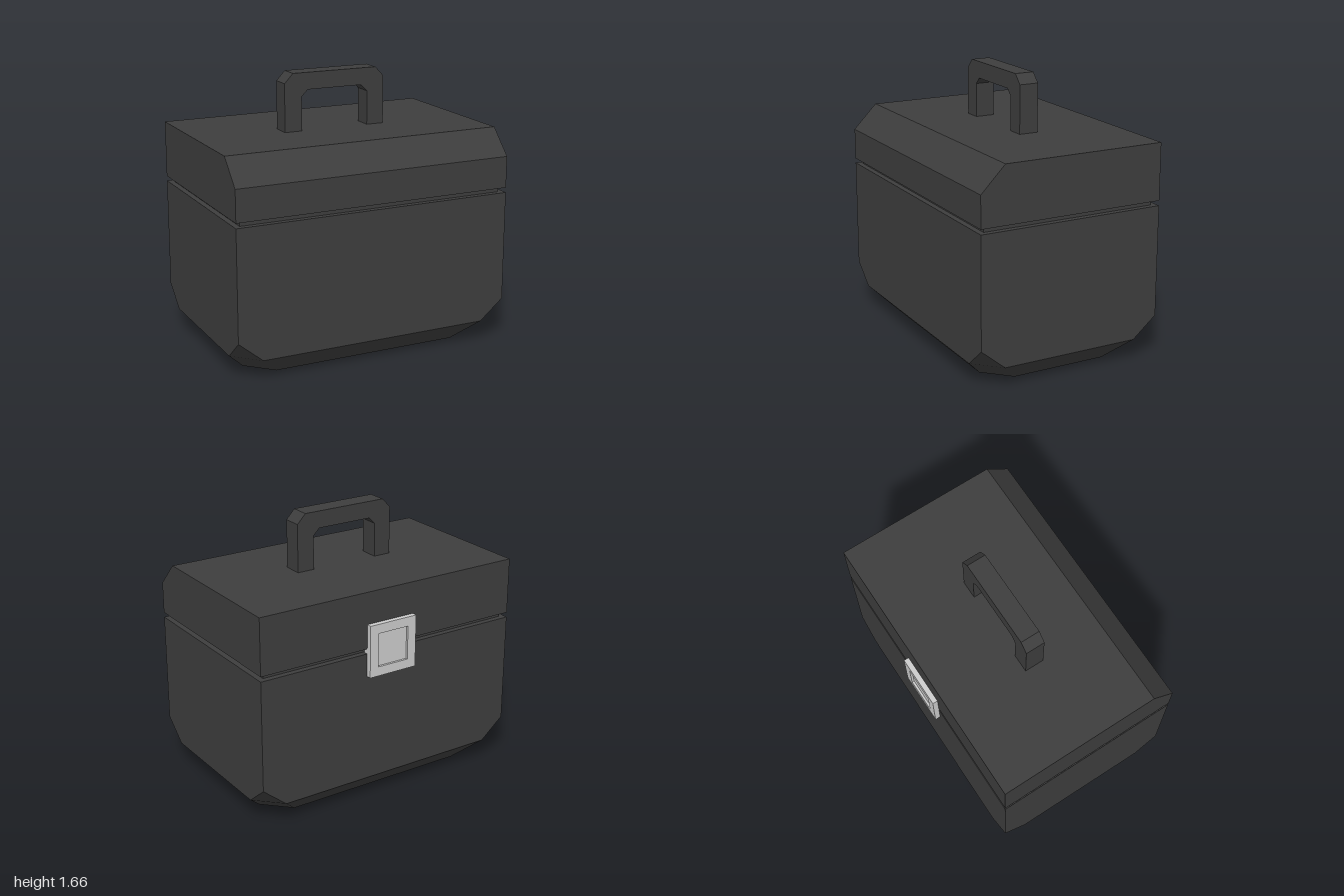
import * as THREE from 'three';
import { ConvexGeometry } from 'three/addons/geometries/ConvexGeometry.js';

const W = 0.872, D = 0.58; // half width and half depth of the box
const dark = new THREE.MeshStandardMaterial({ color: 0x3d3d3d, flatShading: true });
const metal = new THREE.MeshStandardMaterial({ color: 0xcccccc, flatShading: true });

function addMesh(parent, name, geometry, material, x = 0, y = 0, z = 0) {
  const mesh = new THREE.Mesh(geometry, material);
  mesh.name = name;
  mesh.position.set(x, y, z);
  parent.add(mesh);
  return mesh;
}

// Horizontal rectangle of points at height y, with its corners cut off by `cut`
function ring(y, inset, cut) {
  const w = W - inset, d = D - inset, points = [];
  for (const sx of [-1, 1]) for (const sz of [-1, 1]) {
    points.push(new THREE.Vector3(sx * (w - cut), y, sz * d));
    if (cut > 0) points.push(new THREE.Vector3(sx * w, y, sz * (d - cut)));
  }
  return points;
}

const polygon = (Type, points) => new Type(points.map(([x, y]) => new THREE.Vector2(x, y)));

function extrude(shape, depth) {
  return new THREE.ExtrudeGeometry(shape, { depth, bevelEnabled: false });
}

export function createModel() {
  const model = new THREE.Group();
  model.name = 'toolbox';
  const box = new THREE.Group();
  box.name = 'box';
  box.rotation.y = -0.272;
  model.add(box);

  // Lower body with bevelled bottom edges and clipped corners
  addMesh(box, 'body', new ConvexGeometry([
    ...ring(0, 0.135, 0.15), ...ring(0.135, 0, 0.15), ...ring(0.26, 0, 0), ...ring(0.935, 0, 0),
  ]), dark);

  // Recessed seam between body and lid
  addMesh(box, 'seam', new THREE.BoxGeometry(2 * (W - 0.035), 0.05, 2 * (D - 0.035)), dark, 0, 0.95, 0);

  // Lid: side profile (z, y) with a sloped front edge, extruded along the width
  const lidProfile = polygon(THREE.Shape, [[-D, 0.965], [D, 0.965], [D, 1.158], [D - 0.15, 1.31], [-D, 1.31]]);
  const lid = extrude(lidProfile, 2 * W);
  lid.translate(0, 0, -W);
  lid.rotateY(-Math.PI / 2);
  lid.scale(1, 1, 1);
  addMesh(box, 'lid', lid, dark);

  // Carrying handle: clipped-corner arch
  const arch = polygon(THREE.Shape, [
    [-0.327, 1.3], [-0.217, 1.3], [-0.217, 1.517], [-0.177, 1.557], [0.177, 1.557], [0.217, 1.517],
    [0.217, 1.3], [0.327, 1.3], [0.327, 1.603], [0.273, 1.66], [-0.273, 1.66], [-0.327, 1.603],
  ]);
  addMesh(box, 'handle', extrude(arch, 0.12), dark, -0.007, 0, -0.088);

  // Latch on the back: square frame, sunken panel and a tongue in the seam
  const latch = new THREE.Group();
  latch.name = 'latch';
  latch.position.set(0.008, 0.955, 0);
  box.add(latch);
  const square = (h) => [[-h, -h], [h, -h], [h, h], [-h, h]];
  const frame = polygon(THREE.Shape, square(0.16));
  frame.holes.push(polygon(THREE.Path, square(0.103).reverse()));
  addMesh(latch, 'latchFrame', extrude(frame, 0.032), metal, 0, 0, -0.612);
  addMesh(latch, 'latchPanel', new THREE.BoxGeometry(0.206, 0.206, 0.018), metal, 0, 0, -0.589);
  addMesh(latch, 'latchTongue', new THREE.BoxGeometry(0.32, 0.03, 0.03), metal, 0, -0.005, -0.566);

  return model;
}
